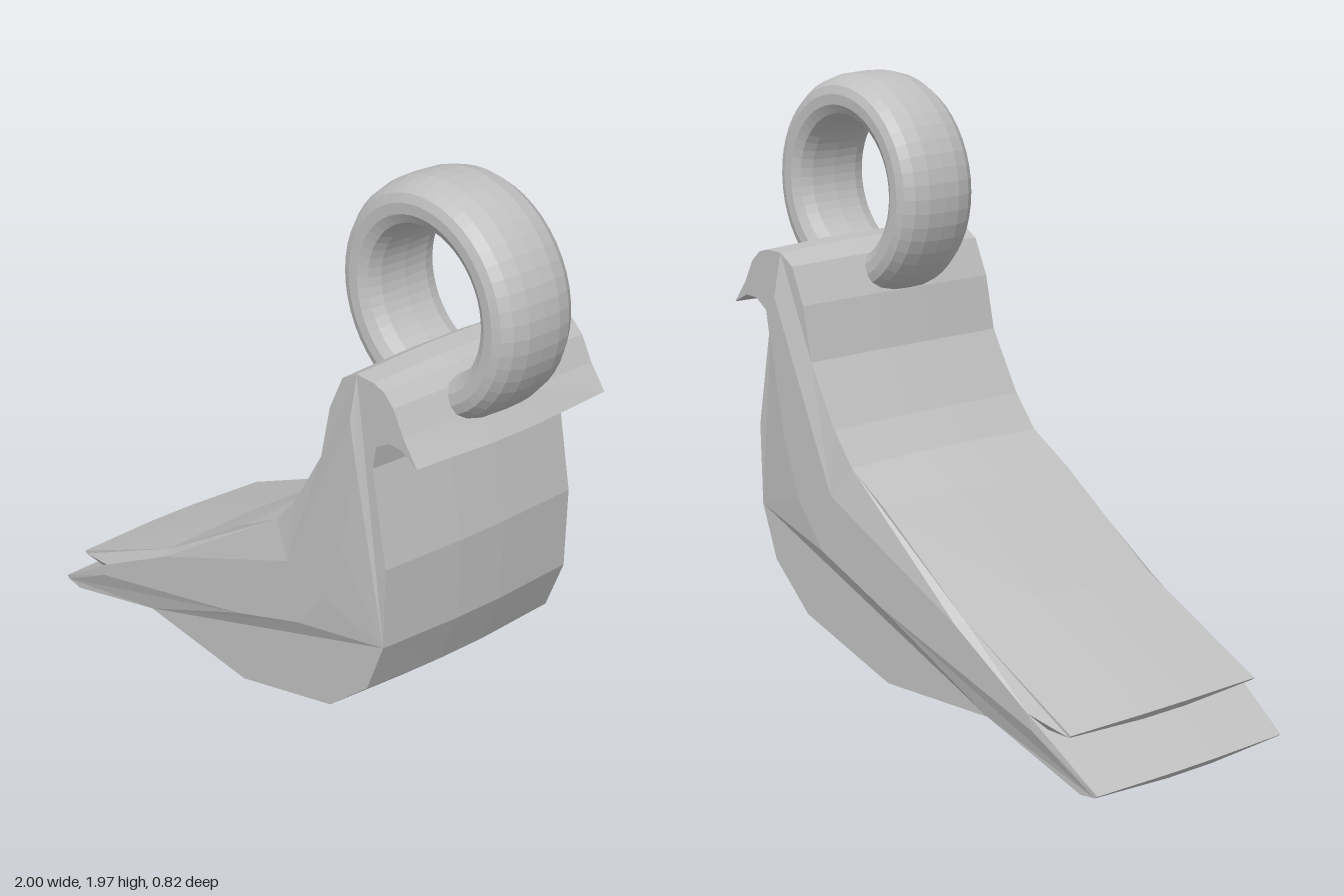
import * as THREE from 'three';

// Bird silhouette, counter-clockwise from the tail tip along the belly
const OUTLINE = [
  [-1, 0.035], [-0.98, 0.012], [-0.91, 0.002], [-0.48, 0.118], [0.02, 0.083], [0.46, 0.203],
  [0.64, 0.355], [0.715, 0.54], [0.722, 0.82], [0.66, 1.14], [0.672, 1.21], [0.72, 1.238],
  [0.77, 1.238], [0.85, 1.208], [0.79, 1.3], [0.745, 1.38], [0.7, 1.42], [0.65, 1.435],
  [0.57, 1.435], [0.5, 1.395], [0.44, 1.27], [0.4, 1.09], [0.28, 0.89], [0.19, 0.785],
  [0.02, 0.69], [-0.38, 0.425], [-0.88, 0.19], [-0.865, 0.167], [-0.775, 0.172],
].map(p => new THREE.Vector2(...p));

// Raised flank, counter-clockwise
const FLANK = [
  [-0.72, 0.165], [-0.4, 0.29], [0.02, 0.36], [0.33, 0.47], [0.46, 0.62], [0.54, 0.83], [0.6, 1.15],
  [0.575, 1.28], [0.52, 1.1], [0.42, 0.87], [0.28, 0.67], [0.02, 0.545], [-0.36, 0.4], [-0.7, 0.215],
].map(p => new THREE.Vector2(...p));

// Move every outline point inwards by d
function inset(points, d) {
  return points.map((p, i) => {
    const n = points.length;
    const a = p.clone().sub(points[(i + n - 1) % n]).normalize();
    const b = points[(i + 1) % n].clone().sub(p).normalize();
    const t = a.add(b).normalize();
    return new THREE.Vector2(p.x - t.y * d, p.y + t.x * d);
  });
}

function bodyGeometry() {
  const rim = inset(OUTLINE, 0.013);
  const n = OUTLINE.length;
  const pos = [], index = [];
  const add = (points, z) => {
    const start = pos.length / 3;
    points.forEach(p => pos.push(p.x, p.y, z));
    return start;
  };
  // Band around the silhouette, slightly fuller in the middle
  const starts = [[rim, -0.385], [OUTLINE, -0.09], [OUTLINE, 0.09], [rim, 0.385]].map(s => add(...s));
  for (let k = 0; k < 3; k++) {
    for (let i = 0; i < n; i++) {
      const j = (i + 1) % n, a = starts[k], b = starts[k + 1];
      index.push(a + i, a + j, b + j, a + i, b + j, b + i);
    }
  }
  // Both sides: sloping border and flat raised flank
  const hole = FLANK.slice().reverse();
  const border = THREE.ShapeUtils.triangulateShape(rim.slice(), [hole.slice()]);
  const panel = THREE.ShapeUtils.triangulateShape(FLANK.slice(), []);
  for (const s of [1, -1]) {
    const r = add(rim, s * 0.385);
    add(hole, s * 0.412);
    const f = add(FLANK, s * 0.412);
    for (const [tris, o] of [[border, r], [panel, f]]) {
      for (const [a, b, c] of tris) {
        if (s > 0) index.push(o + a, o + b, o + c);
        else index.push(o + a, o + c, o + b);
      }
    }
  }
  const g = new THREE.BufferGeometry();
  g.setAttribute('position', new THREE.Float32BufferAttribute(pos, 3));
  g.setIndex(index);
  const flat = g.toNonIndexed();
  flat.computeVertexNormals();
  return flat;
}

export function createModel() {
  const group = new THREE.Group();
  const grey = new THREE.MeshStandardMaterial({ color: 0xc0c0c0, flatShading: true });
  grey.name = 'grey';

  const body = new THREE.Mesh(bodyGeometry(), grey);
  body.name = 'birdBody';
  group.add(body);

  // Hanging ring: rounded section (radius, axial offset) turned about its axis
  const half = [[0.375, 0], [0.373, 0.06], [0.36, 0.11], [0.338, 0.14], [0.31, 0.15],
    [0.275, 0.148], [0.245, 0.13], [0.23, 0.09], [0.225, 0]];
  const back = half.slice(1, -1).reverse().map(([r, z]) => [r, -z]);
  const profile = [...half, ...back, half[0]].map(([r, z]) => new THREE.Vector2(r, -z)).reverse();
  // Lathe faces point outwards when the section runs counter-clockwise
  const area = THREE.ShapeUtils.area(profile.slice(0, -1));
  if (area < 0) profile.reverse();
  const ring = new THREE.Mesh(new THREE.LatheGeometry(profile, 48), grey);
  ring.name = 'hangingRing';
  ring.rotation.x = Math.PI / 2;
  ring.position.set(0.62, 1.6, 0.04);
  group.add(ring);

  return group;
}
